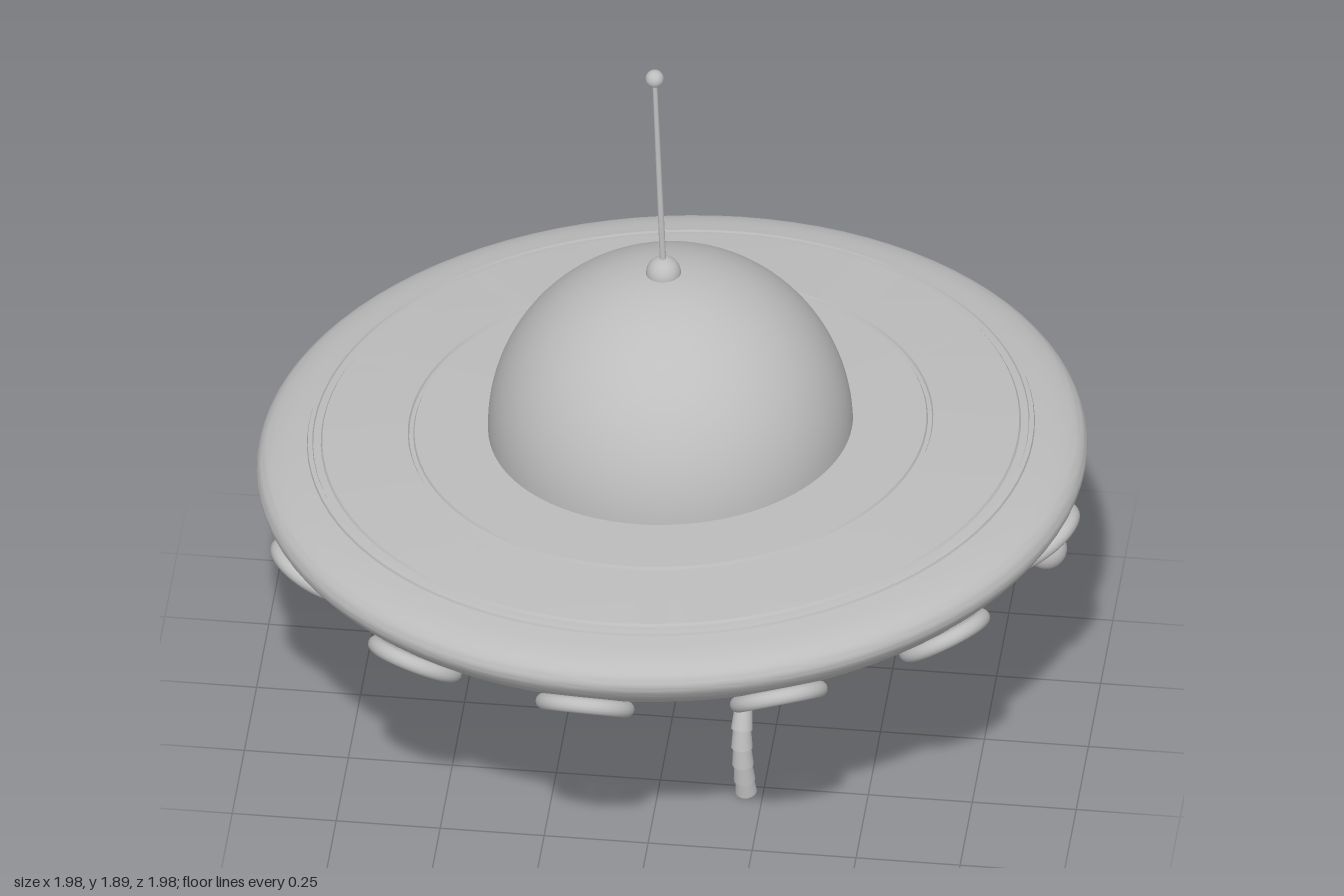
import * as THREE from 'three';
import { toCreasedNormals } from 'three/addons/utils/BufferGeometryUtils.js';

const metal = new THREE.MeshStandardMaterial({ color: 0xbdbdbd });
metal.name = 'light grey metal';

function add(parent, name, geometry, x = 0, y = 0, z = 0) {
  const mesh = new THREE.Mesh(geometry, metal);
  mesh.name = name;
  mesh.position.set(x, y, z);
  parent.add(mesh);
  return mesh;
}

function lathe(points, crease = 0.45) {
  const profile = points.map(([r, y]) => new THREE.Vector2(r, y));
  return toCreasedNormals(new THREE.LatheGeometry(profile, 96), crease);
}

// Flexible leg: short flared sleeves following a curve
function makeLeg(name, points, count) {
  const leg = new THREE.Group();
  leg.name = name;
  const curve = new THREE.CatmullRomCurve3(points.map((p) => new THREE.Vector3(...p)));
  const up = new THREE.Vector3(0, 1, 0);
  for (let i = 0; i < count; i++) {
    const a = curve.getPointAt(i / count);
    const b = curve.getPointAt((i + 1) / count);
    const dir = a.clone().sub(b);
    const length = dir.length() + (i < count - 1 ? 0.008 : 0);
    const sleeve = add(leg, 'legSegment', new THREE.CylinderGeometry(0.021, 0.026, length, 20));
    sleeve.quaternion.setFromUnitVectors(up, dir.normalize());
    sleeve.position.copy(a).addScaledVector(dir, -length / 2);
  }
  return leg;
}

export function createModel() {
  const model = new THREE.Group();
  model.name = 'flyingSaucer';

  // The whole craft leans slightly and is turned a little about its axis
  const craft = new THREE.Group();
  craft.name = 'craft';
  craft.position.y = 0.75;
  const up = new THREE.Vector3(0, 1, 0);
  craft.quaternion
    .setFromUnitVectors(up, new THREE.Vector3(-0.045, 1, -0.055).normalize())
    .multiply(new THREE.Quaternion().setFromAxisAngle(up, -0.122));
  model.add(craft);

  // Saucer: smooth underside and rounded rim
  const hullCurve = new THREE.SplineCurve([
    [0.24, -0.327], [0.36, -0.293], [0.52, -0.238], [0.7, -0.168], [0.84, -0.105],
    [0.93, -0.05], [0.98, 0.0], [0.993, 0.035], [0.975, 0.068], [0.93, 0.087], [0.87, 0.098],
  ].map(([x, y]) => new THREE.Vector2(x, y)));
  add(craft, 'hull', lathe(hullCurve.getPoints(50).map((p) => [p.x, p.y]), 0.7));
  add(craft, 'bottomPlate', lathe([[0, -0.343], [0.12, -0.341], [0.235, -0.333], [0.24, -0.325]]));

  // Stepped deck
  add(craft, 'deck', lathe([
    [0.87, 0.098], [0.868, 0.104], [0.857, 0.106], [0.855, 0.101], [0.837, 0.103],
    [0.833, 0.109], [0.628, 0.123], [0.625, 0.117], [0.615, 0.118], [0.612, 0.124], [0.4, 0.127],
  ]));

  // Dome with a short straight foot
  const dome = [[0.436, 0.09], [0.436, 0.125]];
  for (let i = 1; i <= 32; i++) {
    const a = (i / 32) * Math.PI / 2;
    dome.push([Math.max(0, 0.436 * Math.cos(a)), 0.125 + 0.436 * Math.sin(a)]);
  }
  add(craft, 'dome', lathe(dome));

  // Antenna
  add(craft, 'antennaBase', new THREE.SphereGeometry(0.042, 24, 16), 0, 0.56, 0);
  add(craft, 'antennaRod', new THREE.CylinderGeometry(0.006, 0.008, 0.54, 12), 0, 0.845, 0);
  add(craft, 'antennaTip', new THREE.SphereGeometry(0.022, 20, 14), 0, 1.118, 0);

  // Twelve rings around the underside, two opposite ones holding a ball
  const ringGeometry = new THREE.TorusGeometry(0.099, 0.02, 14, 40);
  const ballGeometry = new THREE.SphereGeometry(0.05, 24, 16);
  for (let i = 0; i < 12; i++) {
    const port = new THREE.Group();
    port.name = 'port';
    port.rotation.y = -i * Math.PI / 6;
    craft.add(port);
    const out = new THREE.Vector3(0.56, -0.83, 0).normalize();
    const ring = add(port, 'portRing', ringGeometry, 0.895, -0.093, 0);
    ring.quaternion.setFromUnitVectors(new THREE.Vector3(0, 0, 1), out);
    if (i % 6 === 0) add(port, 'portBall', ballGeometry, 0.895 + out.x * 0.035, -0.093 + out.y * 0.035, 0);
  }

  // Leg sockets
  for (const side of [-1, 1]) {
    add(craft, 'legSocket', new THREE.SphereGeometry(0.083, 28, 18), side * 0.22, -0.322, 0);
  }

  // One leg reaches down, the other trails backwards
  model.add(makeLeg('leftLeg', [
    [0.222, 0.41, 0.08], [0.215, 0.37, 0.165], [0.205, 0.3, 0.235],
    [0.2, 0.2, 0.28], [0.203, 0.1, 0.288], [0.209, 0.004, 0.274],
  ], 10));
  model.add(makeLeg('rightLeg', [
    [-0.208, 0.4, 0.0], [-0.21, 0.34, 0.03], [-0.212, 0.25, 0.037], [-0.215, 0.17, 0.007],
    [-0.22, 0.115, -0.06], [-0.222, 0.092, -0.14], [-0.222, 0.092, -0.242],
  ], 10));

  return model;
}
